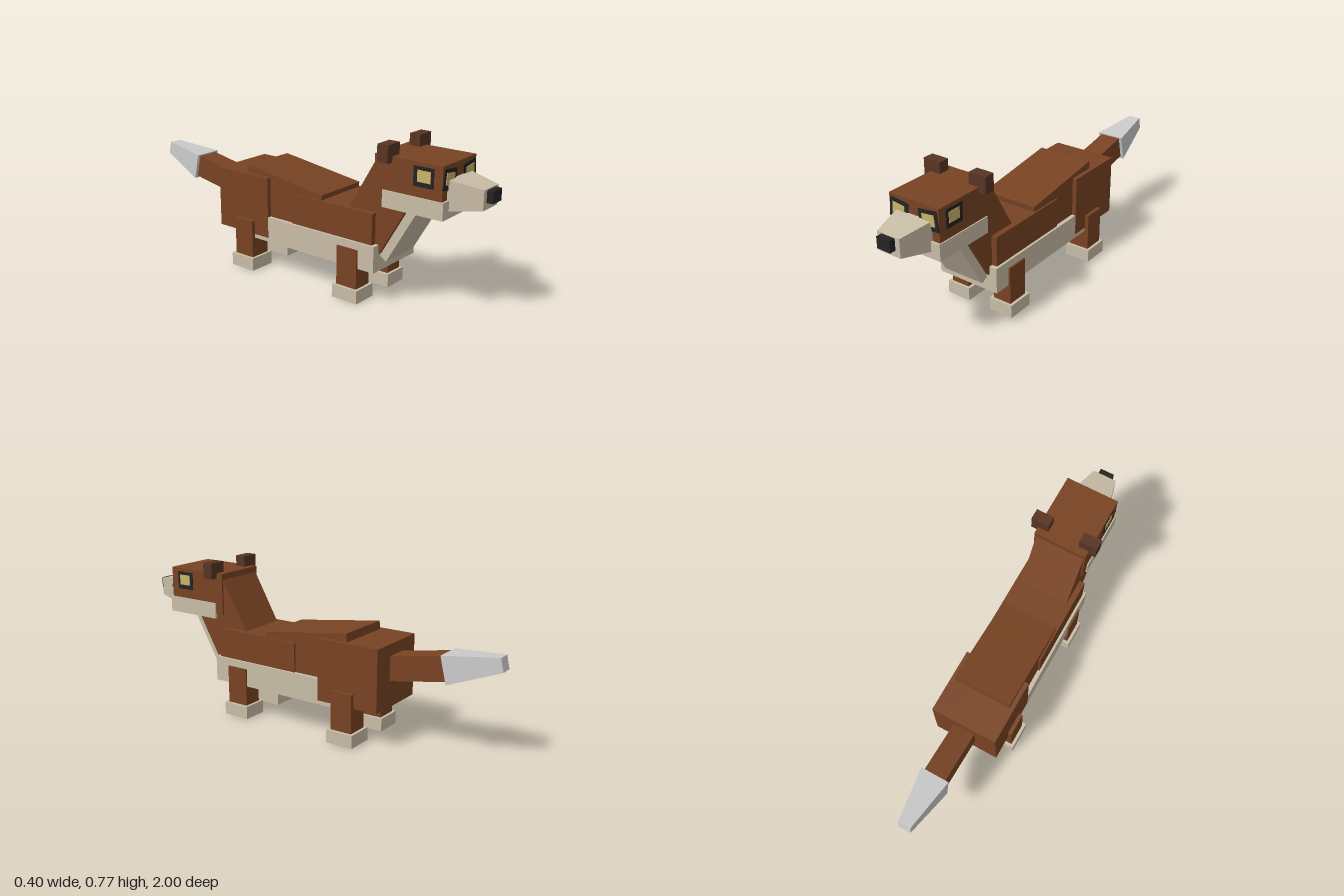
import * as THREE from 'three';

const mat = (name, color, side = THREE.FrontSide) => {
  const m = new THREE.MeshStandardMaterial({ color, side });
  m.name = name;
  return m;
};

export function createModel() {
  const model = new THREE.Group();
  model.name = 'animal';
  const brown = mat('brown fur', 0x784323);
  const cream = mat('cream fur', 0xc8bda6, THREE.DoubleSide);
  const earBrown = mat('dark brown', 0x583424);
  const black = mat('black', 0x232323);
  const yellow = mat('eye yellow', 0xcbb366);
  const grey = mat('tail tip grey', 0xcacaca);

  const add = (name, geometry, material, x, y, z, tilt = 0) => {
    const mesh = new THREE.Mesh(geometry, material);
    mesh.name = name;
    mesh.position.set(x, y, z);
    mesh.rotation.x = THREE.MathUtils.degToRad(tilt);
    model.add(mesh);
    return mesh;
  };

  // box given by its ranges along each axis
  const span = (name, material, [x0, x1], [y0, y1], [z0, z1]) =>
    add(name, new THREE.BoxGeometry(x1 - x0, y1 - y0, z1 - z0), material,
      (x0 + x1) / 2, (y0 + y1) / 2, (z0 + z1) / 2);

  // box tilted about the x axis
  const tilted = (name, material, w, h, d, y, z, angle) =>
    add(name, new THREE.BoxGeometry(w, h, d), material, 0, y, z, angle);

  // box whose end on the given z side is narrowed
  const taper = (w, h, d, sx, sy, end) => {
    const g = new THREE.BoxGeometry(w, h, d);
    const p = g.attributes.position;
    for (let i = 0; i < p.count; i++) {
      if (p.getZ(i) * end > 0) p.setXY(i, p.getX(i) * sx, p.getY(i) * sy);
    }
    g.computeVertexNormals();
    return g;
  };

  // body
  span('chest', brown, [-0.155, 0.155], [0.25, 0.44], [0.01, 0.48]);
  span('belly', cream, [-0.167, 0.167], [0.165, 0.292], [-0.25, 0.5]);
  span('hindquarters', brown, [-0.168, 0.168], [0.185, 0.491], [-0.462, -0.135]);
  tilted('back', brown, 0.292, 0.25, 0.472, 0.374, -0.064, 8);

  // neck with pale bib
  tilted('neck', brown, 0.254, 0.382, 0.242, 0.476, 0.494, 30);
  tilted('bib', cream, 0.22, 0.35, 0.041, 0.3755, 0.6, 30);

  // head
  span('head', brown, [-0.136, 0.136], [0.505, 0.715], [0.475, 0.818]);
  span('jaw', cream, [-0.142, 0.142], [0.48, 0.56], [0.52, 0.828]);
  add('muzzle', taper(0.194, 0.14, 0.155, 0.63, 0.64, 1), cream, 0, 0.58, 0.8925);
  span('nose', black, [-0.036, 0.036], [0.565, 0.62], [0.965, 1]);

  // tail
  tilted('tail', brown, 0.11, 0.118, 0.34, 0.394, -0.573, 10.3);
  add('tailTip', taper(0.144, 0.135, 0.261, 0.44, 0.48, -1), grey, 0, 0.4515, -0.865, 13.3);

  for (const s of [1, -1]) {
    const side = s > 0 ? 'left' : 'right';
    const mirror = (a, b) => (s > 0 ? [a, b] : [-b, -a]);

    span(side + 'Ear', earBrown, mirror(0.081, 0.172), [0.689, 0.77], [0.51, 0.565]);

    // eye plates on the face, slanted toward the nose
    const rim = add(side + 'FrontEyeRim', new THREE.BoxGeometry(0.1, 0.093, 0.006), black, s * 0.082, 0.65, 0.819);
    const iris = add(side + 'FrontEye', new THREE.BoxGeometry(0.066, 0.052, 0.006), yellow, s * 0.083, 0.653, 0.822);
    rim.rotation.z = iris.rotation.z = s * 0.12;

    // eye plates on the sides of the head
    span(side + 'SideEyeRim', black, mirror(0.133, 0.138), [0.607, 0.697], [0.675, 0.776]);
    span(side + 'SideEye', yellow, mirror(0.135, 0.14), [0.629, 0.681], [0.695, 0.761]);

    // legs with hollow feet
    for (const [part, outer, z] of [['Front', 0.176, 0.356], ['Rear', 0.187, -0.282]]) {
      span(side + part + 'Leg', brown, mirror(0.078, outer), [0.064, 0.256], [z - 0.057, z + 0.057]);
      const foot = span(side + part + 'Foot', cream, mirror(0.063, outer + 0.015), [0, 0.065], [z - 0.071, z + 0.071]);
      const index = Array.from(foot.geometry.index.array);
      index.splice(18, 6); // open sole
      foot.geometry.setIndex(index);
      foot.geometry.clearGroups();
    }
  }
  return model;
}
